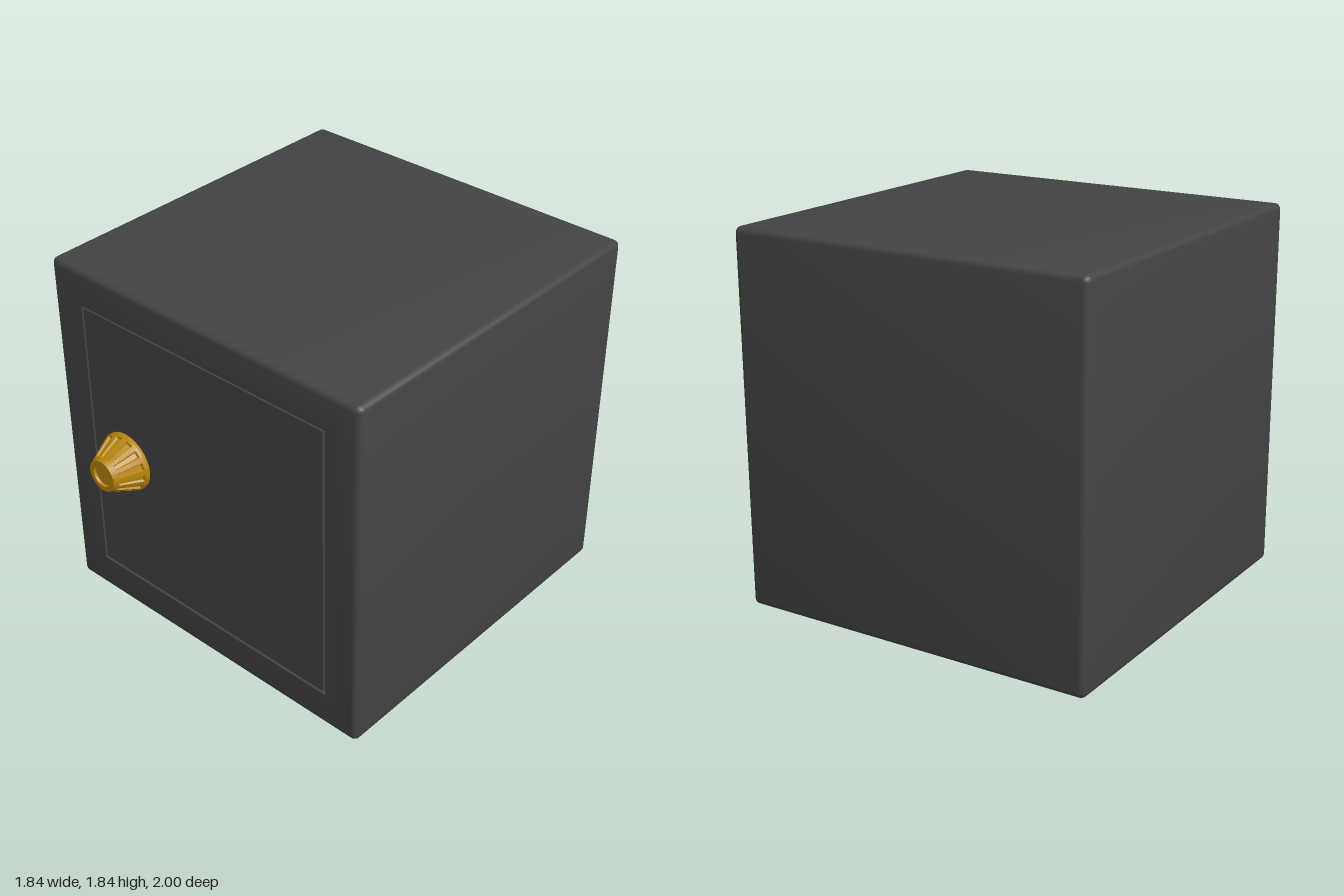
import * as THREE from 'three';
import { toCreasedNormals } from 'three/addons/utils/BufferGeometryUtils.js';

// Skins a list of equal-length rings (anticlockwise seen from +z).
function loft(rings, crease) {
  const n = rings[0].length, index = [];
  for (let i = 0; i < rings.length - 1; i++) {
    for (let j = 0; j < n; j++) {
      const k = (j + 1) % n, a = i * n + j, b = i * n + k, c = a + n, d = b + n;
      index.push(a, b, d, a, d, c);
    }
  }
  const geo = new THREE.BufferGeometry();
  geo.setAttribute('position', new THREE.Float32BufferAttribute(rings.flat(2), 3));
  geo.setIndex(index);
  return toCreasedNormals(geo, crease);
}

// Square ring of half-size h with corner radius r at depth z.
function squareRing(h, r, z, steps = 4) {
  const pts = [];
  for (let c = 0; c < 4; c++) {
    const mid = Math.PI / 4 + c * Math.PI / 2;
    const cx = Math.sign(Math.cos(mid)) * (h - r), cy = Math.sign(Math.sin(mid)) * (h - r);
    for (let s = 0; s <= steps; s++) {
      const a = (c + s / steps) * Math.PI / 2;
      pts.push([cx + r * Math.cos(a), cy + r * Math.sin(a), z]);
    }
  }
  return pts;
}

// Knob ring: alternating ribs and flutes, flutes sunk by the given depth.
function knobRing(r, z, depth = 0, flutes = 14) {
  const pts = [];
  for (let i = 0; i < flutes; i++) {
    for (const [t, sunk] of [[0, 0], [0.42, 0], [0.5, 1], [0.92, 1]]) {
      const a = (i + t) / flutes * Math.PI * 2, q = r - sunk * depth;
      pts.push([q * Math.cos(a), q * Math.sin(a), z]);
    }
  }
  return pts;
}

export function createModel() {
  const model = new THREE.Group();
  const iron = new THREE.MeshStandardMaterial({ color: 0x444444 });
  const gold = new THREE.MeshStandardMaterial({ color: 0xb8860b });
  const add = (name, geo, mat, x, y) => {
    const mesh = new THREE.Mesh(geo, mat);
    mesh.name = name;
    mesh.position.set(x, y, 0);
    model.add(mesh);
  };

  const half = 0.9175, back = -1, front = 0.835, r = 0.03;

  // Rounded cabinet with a shallow door recess in its front
  const bodyRings = [squareRing(0, 0, back)];
  for (const [z, dir] of [[back + r, -1], [front - r, 1]]) {
    for (let s = 0; s <= 4; s++) {
      const a = (dir < 0 ? 4 - s : s) / 4 * Math.PI / 2;
      const inset = r * (1 - Math.cos(a));
      bodyRings.push(squareRing(half - inset, r - inset, z + dir * r * Math.sin(a)));
    }
  }
  bodyRings.push(
    squareRing(0.733, 0, front),
    squareRing(0.733, 0, front - 0.025),
    squareRing(0, 0, front - 0.025),
  );
  add('cabinet', loft(bodyRings, 0.6), iron, 0, half);

  // Flush door, separated from the frame by a narrow gap
  add('door', loft([
    squareRing(0.721, 0, front - 0.025),
    squareRing(0.721, 0, front),
    squareRing(0, 0, front),
  ], 0.6), iron, 0, 0.921);

  // Tapered dial knob with sunken flutes and a dished face
  add('knob', loft([
    knobRing(0, front - 0.01),
    knobRing(0.148, front - 0.01),
    knobRing(0.151, 0.85),
    knobRing(0.146, 0.862),
    knobRing(0.144, 0.865, 0.012),
    knobRing(0.094, 0.972, 0.008),
    knobRing(0.092, 0.976),
    knobRing(0.081, 1),
    knobRing(0.057, 1),
    knobRing(0.052, 0.988),
    knobRing(0, 0.988),
  ], 0.3), gold, -0.5, 0.9);

  return model;
}
